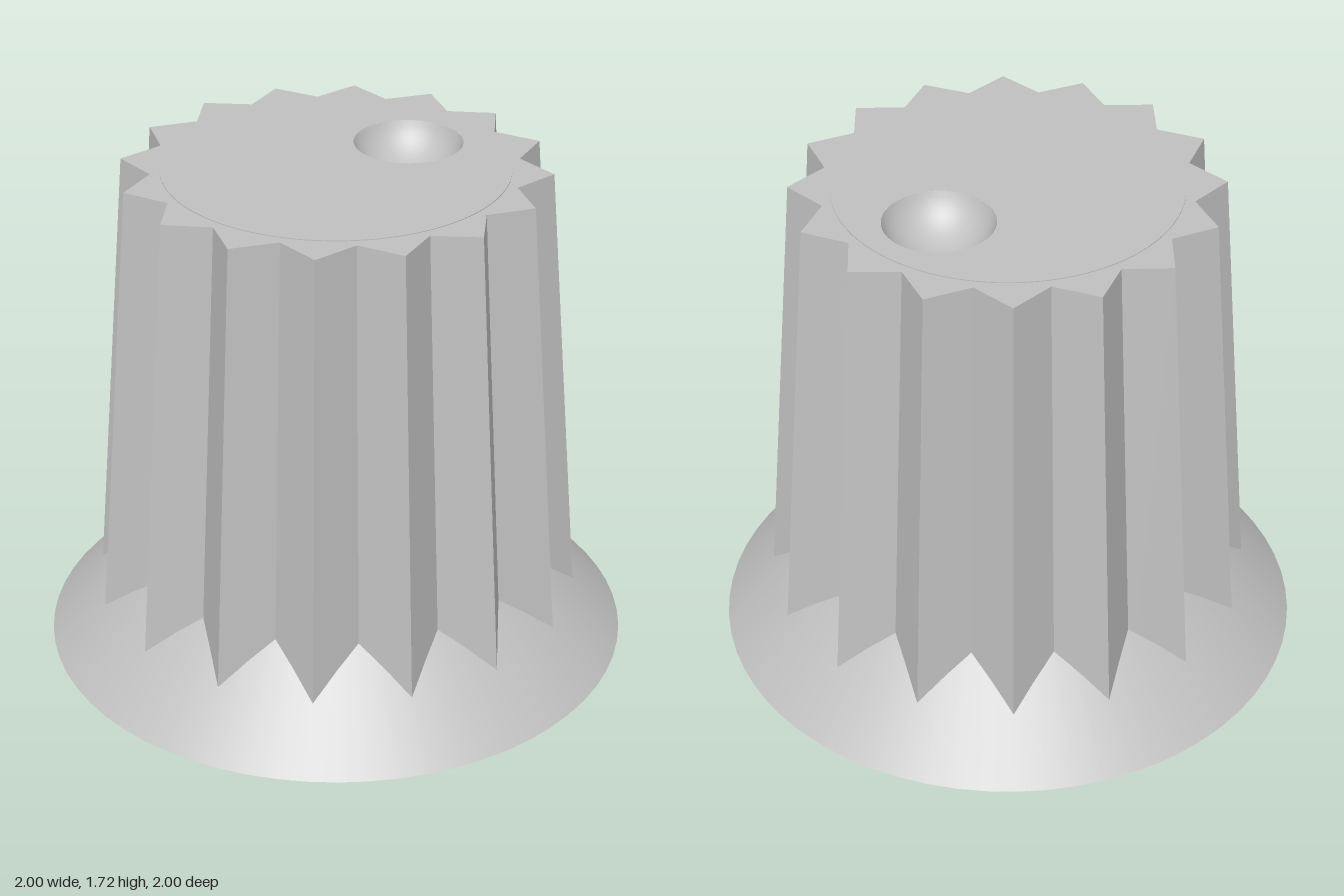
import * as THREE from 'three';

const TEETH = 16, TOP = 1.72, DISC_R = 0.57, DIMPLE_R = 0.182, DIMPLE_X = 0.312;
const v2 = (x, y) => new THREE.Vector2(x, y);

// Star outline with sharp ridges and valleys, at a given ridge and valley radius
function starPoints(ridge, valley) {
  return Array.from({ length: TEETH * 2 }, (_, i) => {
    const a = (i * Math.PI) / TEETH, r = i % 2 ? valley : ridge;
    return v2(Math.cos(a) * r, Math.sin(a) * r);
  });
}

// Tapered fluted wall between two star outlines, flat faced
function flutedWall(lower, y0, upper, y1) {
  const pos = [];
  lower.forEach((p, i) => {
    const j = (i + 1) % lower.length;
    const a = [p.x, y0, -p.y], b = [lower[j].x, y0, -lower[j].y];
    const c = [upper[j].x, y1, -upper[j].y], d = [upper[i].x, y1, -upper[i].y];
    pos.push(...a, ...b, ...c, ...a, ...c, ...d);
  });
  const g = new THREE.BufferGeometry();
  g.setAttribute('position', new THREE.Float32BufferAttribute(pos, 3));
  g.computeVertexNormals();
  return g;
}

export function createModel() {
  const group = new THREE.Group();
  const grey = new THREE.MeshStandardMaterial({ color: 0xc0c0c0 });
  grey.name = 'grey plastic';
  const add = (name, geometry) => {
    const mesh = new THREE.Mesh(geometry, grey);
    mesh.name = name;
    group.add(mesh);
    return mesh;
  };
  const lathe = (name, pts, segments = 64) =>
    add(name, new THREE.LatheGeometry(pts.map(([x, y]) => v2(x, y)), segments));
  const flat = (name, shape, y) =>
    add(name, new THREE.ShapeGeometry(shape, 48).rotateX(-Math.PI / 2).translate(0, y, 0));
  const circle = (x, r) => new THREE.Path().absarc(x, 0, r, 0, Math.PI * 2, true);

  // Conical skirt, underside and shaft hole; separate pieces keep edges sharp
  lathe('skirt', [[1, 0], [0.6, 0.44]]);
  lathe('underside', [[0.19, 0], [1, 0]]);
  lathe('shaftHoleWall', [[0.19, 0.9], [0.19, 0]], 48);
  lathe('shaftHoleEnd', [[0, 0.9], [0.19, 0.9]], 48);

  // Fluted grip
  const upper = starPoints(0.705, 0.602);
  add('flutedGrip', flutedWall(starPoints(0.841, 0.718), 0.06, upper, TOP - 0.003));

  // Top: star rim around a very slightly raised disc
  const rim = new THREE.Shape(upper);
  rim.holes.push(circle(0, DISC_R));
  flat('topRim', rim, TOP - 0.003);
  lathe('discEdge', [[DISC_R, TOP - 0.003], [DISC_R, TOP]], 96);
  const disc = new THREE.Shape().absarc(0, 0, DISC_R, 0, Math.PI * 2, false);
  disc.holes.push(circle(DIMPLE_X, DIMPLE_R));
  flat('topDisc', disc, TOP);

  // Spherical finger dimple, profile running from its rim to its centre
  const depth = 0.13;
  const R = (DIMPLE_R ** 2 + depth ** 2) / (2 * depth);
  const sweep = Math.asin(DIMPLE_R / R);
  const bowl = Array.from({ length: 13 }, (_, i) => {
    const a = sweep * (1 - i / 12);
    return [Math.sin(a) * R, R - depth - Math.cos(a) * R];
  });
  lathe('fingerDimple', bowl, 48).position.set(DIMPLE_X, TOP, 0);

  return group;
}
